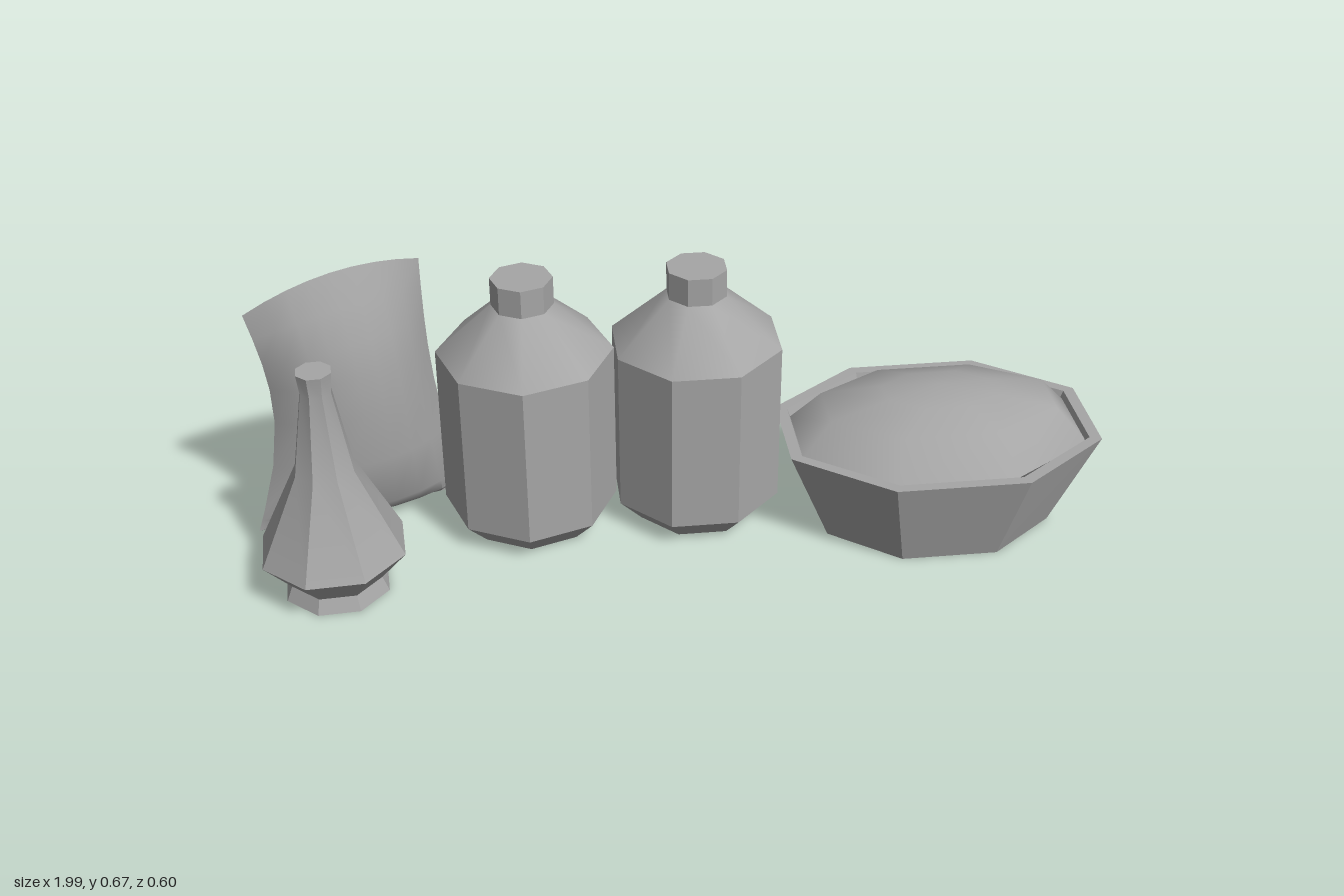
import * as THREE from 'three';
import { toCreasedNormals } from 'three/addons/utils/BufferGeometryUtils.js';

const CREASE = 0.6;

// Surface through rows of points; closed rows wrap round.
function loft(rows, closed) {
  const n = rows[0].length, index = [];
  for (let i = 0; i < rows.length - 1; i++) {
    for (let j = 0; j < (closed ? n : n - 1); j++) {
      const k = (j + 1) % n;
      const a = i * n + j, b = i * n + k, c = a + n, d = b + n;
      index.push(a, c, b, b, c, d);
    }
  }
  const geometry = new THREE.BufferGeometry();
  geometry.setAttribute('position', new THREE.Float32BufferAttribute(rows.flat(2), 3));
  geometry.setIndex(index);
  return geometry;
}

// Stretched octagon ring at height y
function octagon(hx, hz, y) {
  const k = 0.42;
  return [[1, k], [k, 1], [-k, 1], [-1, k], [-1, -k], [-k, -1], [k, -1], [1, -k]]
    .map(([x, z]) => [x * hx, y, z * hz]);
}

function turned(profile) {
  return new THREE.LatheGeometry(profile.map(([r, y]) => new THREE.Vector2(r, y)), 8);
}

// Pinched cloth sack: a front and a back sheet meeting at a seam
function sackSheet(side) {
  const heights = [0, 0.05, 0.1, 0.3, 0.5, 0.65, 0.77, 0.89, 1];
  const depth = [0, 0.65, 0.88, 1, 1, 0.92, 0.75, 0.42, 0];
  const columns = 8, rows = [];
  heights.forEach((t, i) => {
    const row = [];
    const pinch = 0.055 * Math.sin(Math.PI * t);
    const left = THREE.MathUtils.lerp(-0.265, -0.235, t) + pinch;
    const right = THREE.MathUtils.lerp(0.25, 0.17, t) - pinch * 0.4;
    for (let j = 0; j <= columns; j++) {
      const s = j / columns, bow = 1 - (2 * s - 1) ** 2;
      const top = THREE.MathUtils.lerp(0.585, 0.665, s) + 0.035 * bow;
      const lean = 0.03 * t * s;
      row.push([THREE.MathUtils.lerp(left, right, s), t * top,
        lean + side * 0.11 * depth[i] * Math.pow(bow, 0.75)]);
    }
    rows.push(side > 0 ? row.reverse() : row);
  });
  return loft(rows, false);
}

export function createModel() {
  const group = new THREE.Group();
  const clay = new THREE.MeshStandardMaterial({ color: 0xa6a6a6, side: THREE.DoubleSide });
  clay.name = 'plain grey';

  const add = (name, geometry, x, z, degrees = 0, crease = CREASE) => {
    const mesh = new THREE.Mesh(toCreasedNormals(geometry, crease), clay);
    mesh.name = name;
    mesh.position.set(x, 0, z);
    mesh.rotation.y = THREE.MathUtils.degToRad(degrees);
    group.add(mesh);
  };

  // Two eight-sided jars, open underneath
  const jar = [[0.15, 0], [0.206, 0.06], [0.206, 0.46], [0.072, 0.58], [0.072, 0.648], [0, 0.648]];
  add('leftJar', turned(jar), 0.06, -0.105, 22.5);
  add('rightJar', turned(jar), -0.34, -0.098, -4);

  // Slender vase on a flared foot
  add('vase', turned([[0.085, 0.03], [0.095, 0], [0.125, 0], [0.11, 0.035], [0.172, 0.108],
    [0.07, 0.32], [0.036, 0.52], [0.041, 0.57], [0, 0.57]]), -0.8, 0.13, -19);

  // Tub with a thin wall
  const tub = [octagon(0.27, 0.208, 0), octagon(0.37, 0.275, 0.24),
    octagon(0.343, 0.25, 0.24), octagon(0.25, 0.188, 0), octagon(0.27, 0.208, 0)];
  add('tub', loft(tub, true), 0.627, -0.015);

  // Heaped contents of the tub
  const heap = [octagon(0.342, 0.222, 0.22), octagon(0.27, 0.155, 0.302),
    octagon(0.13, 0.08, 0.332), octagon(0, 0, 0.348)];
  add('heap', loft(heap, true), 0.627, -0.015, 0, 1.2);

  // Leaning sack behind the vase
  add('sackFront', sackSheet(1), -0.74, -0.17, 15.5, 0.8);
  add('sackBack', sackSheet(-1), -0.74, -0.17, 15.5, 0.8);

  return group;
}
